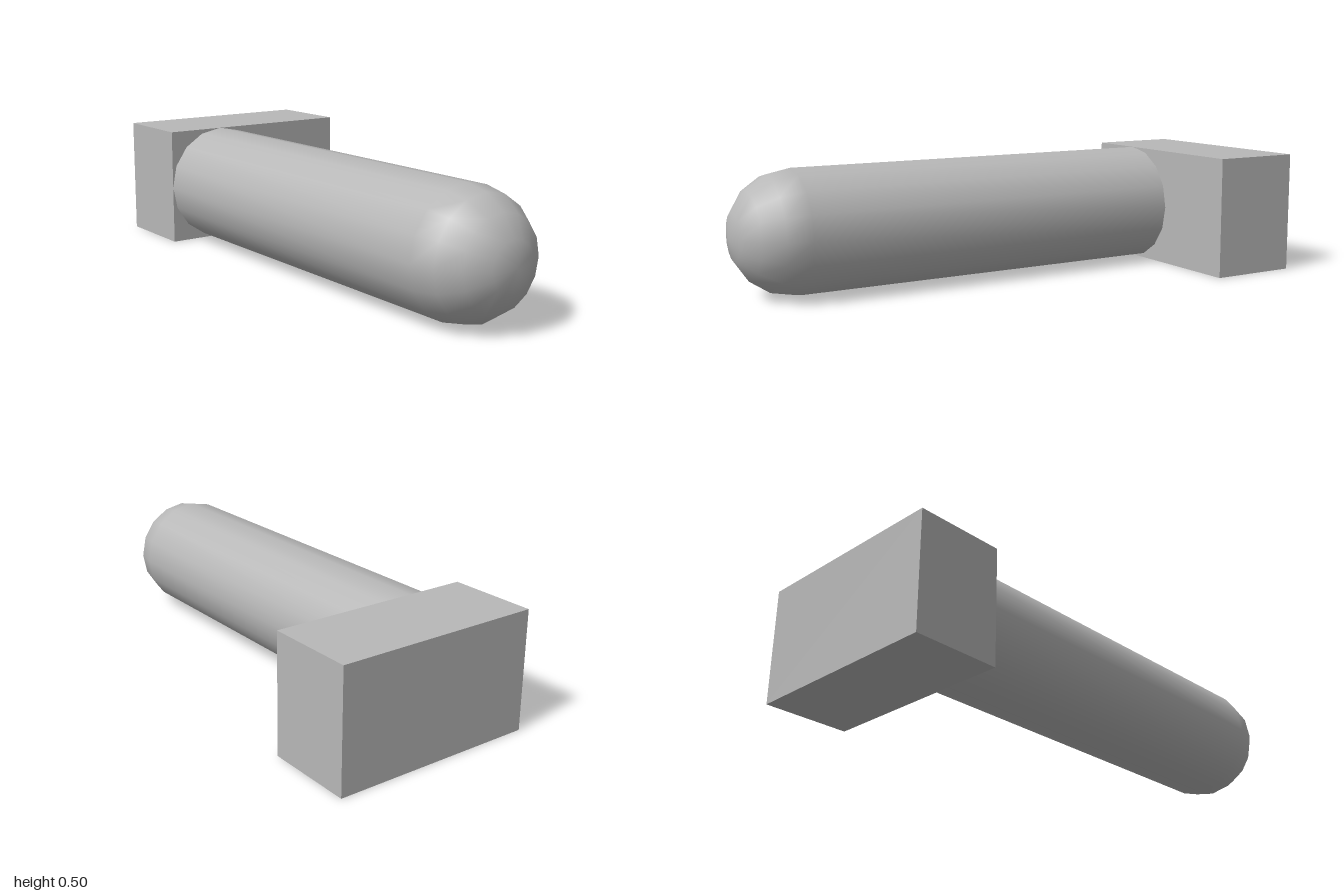
import * as THREE from 'three';

export function createModel() {
  const grey = new THREE.MeshStandardMaterial({ color: 0xb8b8b8 });
  grey.name = 'grey';

  const radius = 0.2525, shaftLength = 1.638;
  const headDepth = 0.381, headWidth = 0.884;
  const sides = 16;

  const model = new THREE.Group();
  model.name = 'peg';

  // The peg lies diagonally: local +x runs along its shaft
  const peg = new THREE.Group();
  peg.name = 'pegBody';
  peg.position.set(-0.58, radius, -0.534);
  peg.rotation.y = -0.663;
  model.add(peg);

  // Rectangular head
  const head = new THREE.Mesh(new THREE.BoxGeometry(headDepth, radius * 2, headWidth), grey);
  head.name = 'head';
  peg.add(head);

  // Shaft, flush with one end of the head
  const offset = headWidth / 2 - radius;
  const shaftGeometry = new THREE.CylinderGeometry(radius, radius, shaftLength, sides);
  shaftGeometry.rotateZ(-Math.PI / 2);
  const shaft = new THREE.Mesh(shaftGeometry, grey);
  shaft.name = 'shaft';
  shaft.position.set(headDepth / 2 + shaftLength / 2, 0, offset);
  peg.add(shaft);

  // Rounded tip
  const tipGeometry = new THREE.SphereGeometry(radius, sides, 4, 0, Math.PI * 2, 0, Math.PI / 2);
  tipGeometry.rotateZ(-Math.PI / 2);
  const tip = new THREE.Mesh(tipGeometry, grey);
  tip.name = 'roundedTip';
  tip.position.set(headDepth / 2 + shaftLength, 0, offset);
  peg.add(tip);

  return model;
}
